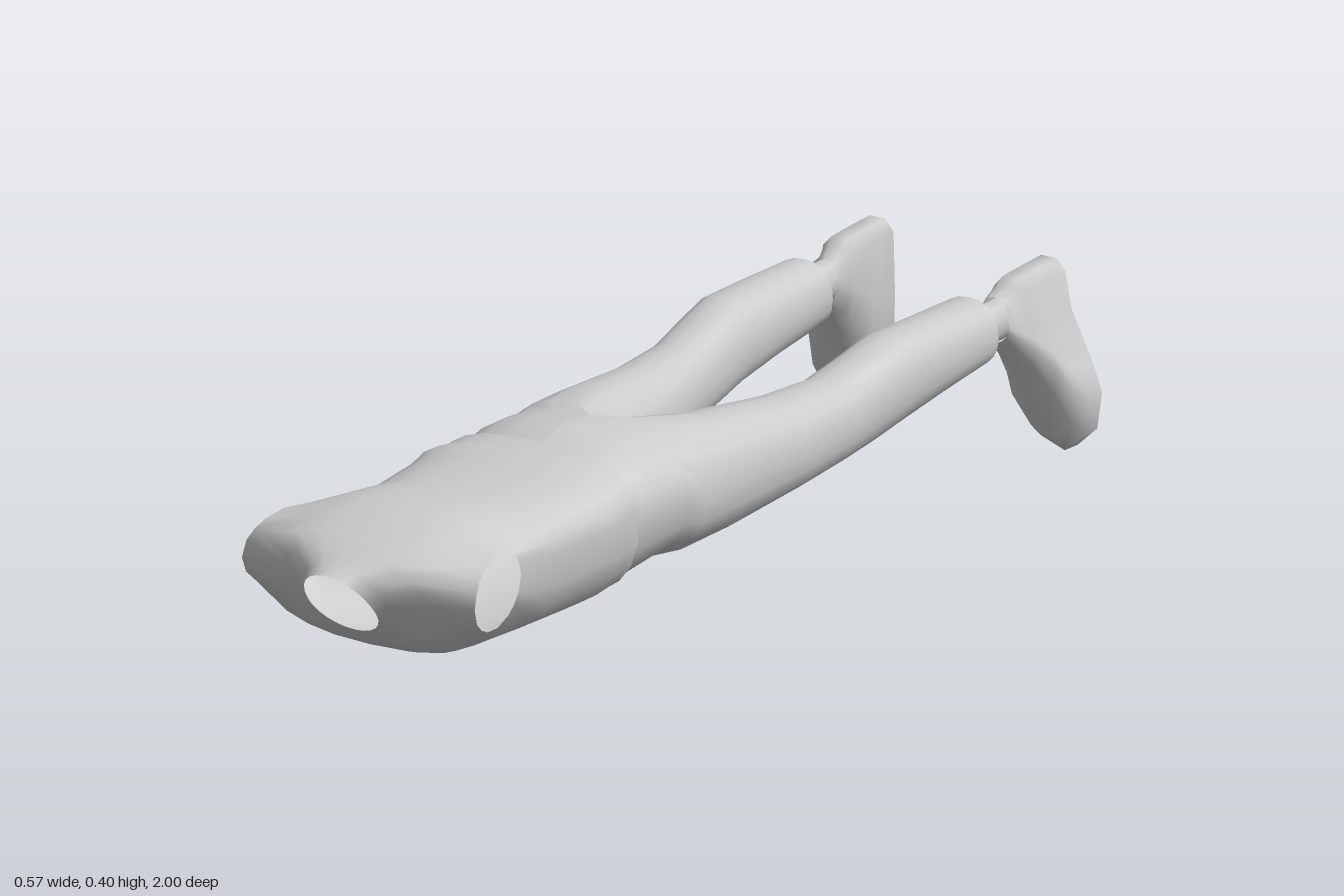
import * as THREE from 'three';

const material = new THREE.MeshStandardMaterial({ color: 0xcccccc, side: THREE.DoubleSide });
const lerp = THREE.MathUtils.lerp;

function addMesh(parent, geometry, name) {
  const mesh = new THREE.Mesh(geometry, material);
  mesh.name = name;
  parent.add(mesh);
  return mesh;
}

// Skins closed rings, listed in order of rising z and counter-clockwise seen from +z.
function loft(rings, side = 1, skip = () => false) {
  const n = rings[0].length;
  const positions = rings.flat().flatMap(([x, y, z]) => [x * side, y, z]);
  const index = [];
  for (let i = 0; i < rings.length - 1; i++) {
    for (let j = 0; j < n; j++) {
      if (skip(i, j)) continue;
      const k = (j + 1) % n;
      const [a, b, c, d] = [i * n + j, i * n + k, (i + 1) * n + k, (i + 1) * n + j];
      if (side > 0) index.push(a, b, c, a, c, d);
      else index.push(a, c, b, a, d, c);
    }
  }
  const geometry = new THREE.BufferGeometry();
  geometry.setAttribute('position', new THREE.Float32BufferAttribute(positions, 3));
  geometry.setIndex(index);
  geometry.computeVertexNormals();
  return geometry;
}

const power = (v, p) => Math.sign(v) * Math.abs(v) ** p;

// Torso, with an open neck, open hem and two round arm openings
function torso() {
  const N = 24;
  // z at top, z at bottom, top y, bottom y, half width, height of widest point
  const sections = [
    [0.33, 0.305, 0.380, 0.102, 0.200, 0.29],
    [0.36, 0.345, 0.376, 0.103, 0.202, 0.29],
    [0.40, 0.395, 0.381, 0.107, 0.213, 0.29],
    [0.45, 0.45, 0.373, 0.108, 0.205, 0.29],
    [0.57, 0.57, 0.368, 0.116, 0.200, 0.29],
    [0.68, 0.68, 0.389, 0.129, 0.205, 0.29],
    [0.74, 0.74, 0.397, 0.139, 0.212, 0.29],
    [0.79, 0.78, 0.395, 0.147, 0.218, 0.29],
    [0.84, 0.82, 0.387, 0.158, 0.224, 0.29],
    [0.895, 0.855, 0.377, 0.172, 0.222, 0.29],
    [0.935, 0.88, 0.365, 0.190, 0.140, 0.29],
    [0.975, 0.895, 0.353, 0.205, 0.086, 0.285],
    [1.0, 0.905, 0.343, 0.215, 0.070, 0.27],
  ];
  const rings = sections.map(([zt, zb, top, bottom, w, mid], i) => {
    const p = i > 10 ? 1 : 0.8;
    return Array.from({ length: N }, (_, j) => {
      const a = (j / N) * Math.PI * 2;
      const s = power(Math.sin(a), p);
      const y = mid + s * (s > 0 ? top - mid : mid - bottom);
      return [w * power(Math.cos(a), p), y, lerp(zb, zt, (y - bottom) / (top - bottom))];
    });
  });
  // Pull the border of a 4 x 4 block on each side onto an ellipse
  const first = 5;
  for (const side of [1, -1]) {
    for (let u = -2; u <= 2; u++) {
      for (let v = -2; v <= 2; v++) {
        if (Math.max(Math.abs(u), Math.abs(v)) < 2) continue;
        const a = Math.atan2(v, u);
        const z = 0.797 + 0.098 * Math.cos(a);
        const y = 0.295 + 0.065 * Math.sin(a);
        const x = lerp(0.206, 0.238, (z - 0.7) / 0.19) - Math.max(0, y - 0.32) * 0.15;
        const j = side > 0 ? (v + N) % N : N / 2 - v;
        rings[first + u + 2][j] = [side * x, y, z];
      }
    }
  }
  const inHole = (i, j) => i >= first && i < first + 4 &&
    (j < 2 || j >= N - 2 || (j >= N / 2 - 2 && j < N / 2 + 2));
  return loft(rings, 1, inHole);
}

// One trouser half: a half hip that turns into a leg below the crotch
function trouserHalf(side) {
  const N = 20;
  // z, inner x, middle x, outer x, top y, bottom y
  const sections = [
    [-0.76, 0.110, 0.170, 0.230, 0.335, 0.213],
    [-0.62, 0.106, 0.169, 0.232, 0.344, 0.202],
    [-0.50, 0.100, 0.167, 0.234, 0.350, 0.190],
    [-0.41, 0.095, 0.160, 0.228, 0.333, 0.176],
    [-0.33, 0.087, 0.152, 0.221, 0.318, 0.165],
    [-0.20, 0.060, 0.137, 0.216, 0.322, 0.152],
    [0.00, 0.023, 0.112, 0.211, 0.349, 0.137],
    [0.12, 0.002, 0.060, 0.209, 0.370, 0.125],
    [0.17, 0, 0, 0.207, 0.377, 0.120],
    [0.25, 0, 0, 0.203, 0.387, 0.113],
    [0.30, 0, 0, 0.198, 0.379, 0.109],
    [0.35, 0, 0, 0.192, 0.368, 0.112],
  ];
  const rings = sections.map(([z, inner, mid, outer, top, bottom], i) =>
    Array.from({ length: N }, (_, j) => {
      const a = (j / N) * Math.PI * 2;
      const c = power(Math.cos(a), 0.88);
      const s = power(Math.sin(a), 0.88);
      const x = mid + c * (c > 0 ? outer - mid : mid - inner);
      const centre = lerp((top + bottom) / 2, 0.27, i > 7 ? 1 : 0);
      return [x, centre + s * (s > 0 ? top - centre : centre - bottom), z];
    }));
  // The halves join at the middle, so no wall is needed there
  return loft(rings, side, (i, j) => i >= 8 && j >= N / 4 && j < (3 * N) / 4);
}

// Foot: the sole outline shrinks into the ankle, later at the heel than at the toe
const sole = [
  [0.285, 0.108], [0.268, 0.155], [0.222, 0.25], [0.21, 0.315], [0.192, 0.335], [0.16, 0.335],
  [0.143, 0.315], [0.14, 0.2], [0.143, 0.075], [0.185, 0.02], [0.235, 0.002], [0.275, 0.04],
];
function foot(side) {
  // z, blend to ankle at toe, blend to ankle at heel
  const steps = [
    [-1, 0, 0], [-0.96, 0.01, 0], [-0.932, 0.14, 0], [-0.91, 0.43, 0.01],
    [-0.88, 0.7, 0.04], [-0.86, 0.82, 0.5], [-0.83, 1, 1],
  ];
  const rings = steps.map(([z, toe, heel]) => sole.map(([x, y]) => {
    const a = Math.atan2((y - 0.19) * 0.5, x - 0.19);
    const t = lerp(toe, heel, THREE.MathUtils.smoothstep(y, 0.15, 0.32));
    return [lerp(x, 0.175 + 0.032 * Math.cos(a), t), lerp(y, 0.272 + 0.042 * Math.sin(a), t), z];
  }));
  return loft(rings, side);
}

export function createModel() {
  const model = new THREE.Group();
  model.name = 'lyingFigure';
  addMesh(model, torso(), 'torso');

  for (const side of [1, -1]) {
    const leg = new THREE.Group();
    leg.name = side > 0 ? 'leftLeg' : 'rightLeg';
    addMesh(leg, trouserHalf(side), 'trouserLeg');

    // Bare ankle between cuff and shoe
    const ankle = new THREE.CylinderGeometry(0.03, 0.03, 0.2, 10, 1, true);
    ankle.rotateX(Math.PI / 2).scale(1, 1.27, 1).translate(0.175 * side, 0.272, -0.76);
    addMesh(leg, ankle, 'ankle');

    addMesh(leg, foot(side), 'foot');
    const outline = sole.map(([x, y]) => new THREE.Vector2(-x * side, y));
    const soleCap = new THREE.ShapeGeometry(new THREE.Shape(outline));
    soleCap.rotateY(Math.PI).translate(0, 0, -1);
    addMesh(leg, soleCap, 'sole');
    model.add(leg);
  }
  return model;
}
